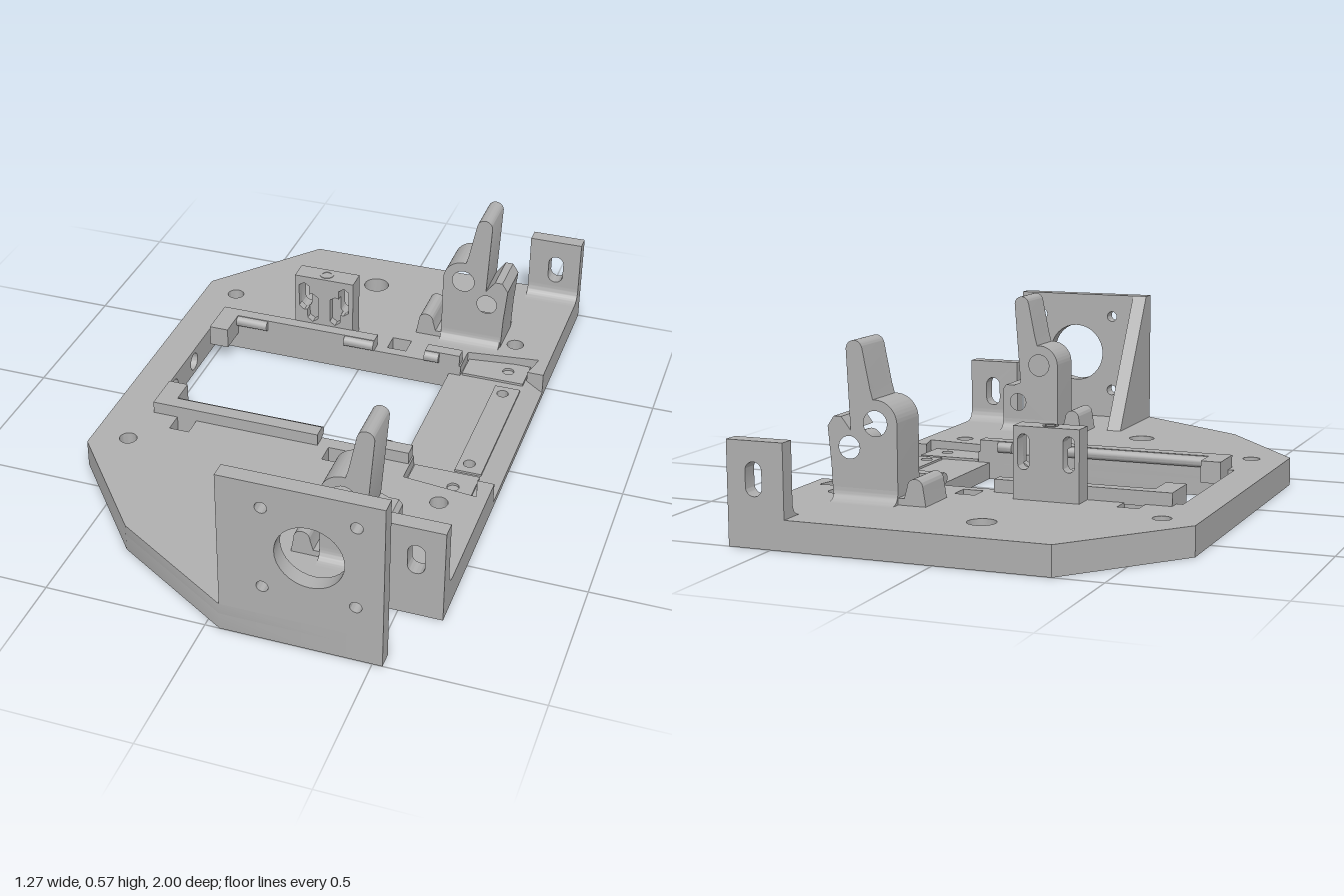
import * as THREE from 'three';
import { toCreasedNormals } from 'three/addons/utils/BufferGeometryUtils.js';

const grey = new THREE.MeshStandardMaterial({ color: 0xb0b0b0 });
grey.name = 'machined grey';

// Shape and hole helpers
const poly = (pts) => new THREE.Shape(pts.map(([x, y]) => new THREE.Vector2(x, y)));
const rect = (x0, x1, y0, y1) => poly([[x0, y0], [x1, y0], [x1, y1], [x0, y1]]);
const circle = (x, y, r) => new THREE.Path().absarc(x, y, r, 0, Math.PI * 2, true);
const slot = (x, y0, y1, r) => new THREE.Path()
  .absarc(x, y1 - r, r, 0, Math.PI, false)
  .absarc(x, y0 + r, r, Math.PI, Math.PI * 2, false)
  .lineTo(x + r, y1 - r);
const cut = (shape, ...holes) => { shape.holes.push(...holes); return shape; };
const extrude = (shape, depth) =>
  new THREE.ExtrudeGeometry(shape, { depth, bevelEnabled: false, curveSegments: 16 });

export function createModel() {
  const model = new THREE.Group();
  model.name = 'mountingPlateAssembly';

  const add = (name, geometry) => {
    const mesh = new THREE.Mesh(toCreasedNormals(geometry, 0.6), grey);
    mesh.name = name;
    model.add(mesh);
  };
  // plan: shape in x,z raised from y0 to y1
  const plan = (name, shape, y0, y1) =>
    add(name, extrude(shape, y1 - y0).rotateX(Math.PI / 2).translate(0, y1, 0));
  // front: shape in x,y running from z0 to z1
  const front = (name, shape, z0, z1) => add(name, extrude(shape, z1 - z0).translate(0, 0, z0));
  // side: shape in z,y running from x0 to x1
  const side = (name, shape, x0, x1) =>
    add(name, extrude(shape, x1 - x0).rotateY(-Math.PI / 2).translate(x1, 0, 0));
  // concave fillet on the plate, starting at z and spreading in direction dir
  const fillet = (name, x0, x1, z, dir, r = 0.045) => {
    const s = new THREE.Shape();
    s.moveTo(z, 0.085).lineTo(z + dir * r, 0.085).lineTo(z + dir * r, 0.09);
    s.quadraticCurveTo(z, 0.09, z, 0.09 + r);
    side(name, s, x0, x1);
  };

  // Holes passing through the whole plate
  const plateHoles = () => {
    const holes = [circle(-0.07, -0.82, 0.043), circle(-0.07, 0.57, 0.043)];
    for (const x of [-0.525, 0.5]) for (const z of [-0.595, 0.345]) holes.push(circle(x, z, 0.028));
    for (const x of [-0.39, 0.125]) for (const z of [-0.467, 0.218])
      holes.push(rect(x - 0.033, x + 0.033, z - 0.033, z + 0.033));
    return holes;
  };
  const outlineStart = [[0.445, 0.76], [0.445, 1], [0.045, 1], [-0.35, 0.76], [-0.64, 0.405],
    [-0.64, -0.65], [-0.35, -1], [0.635, -1]];

  // Lower layer: floor of the cable recess is its top
  const FLOOR = 0.055;
  plan('lowerPlate', cut(
    poly([[0.635, 0.76], ...outlineStart, [0.635, -0.44], [0.58, -0.44], [0.58, 0.2], [0.635, 0.2]]),
    ...plateHoles(), rect(-0.585, 0.32, -0.4, 0.14),
    circle(0.525, -0.33, 0.019), circle(0.525, 0.085, 0.019)), 0, FLOOR);

  // Upper layer: open toward the right edge of the frame, with two wedge pockets
  plan('upperPlate', cut(
    poly([[0.635, 0.76], ...outlineStart, [0.635, -0.44], [0.58, -0.44], [0.6, -0.525], [0.36, -0.495],
      [0.36, -0.4], [-0.585, -0.4], [-0.585, 0.14], [0.36, 0.14], [0.36, 0.255], [0.6, 0.28],
      [0.58, 0.2], [0.635, 0.2]]),
    ...plateHoles()), FLOOR, 0.09);

  // Pocket floors with blind holes
  for (const [z0, z1, zc] of [[-0.515, -0.405, -0.465], [0.145, 0.27, 0.22]])
    plan('pocketFloor', cut(rect(0.365, 0.575, z0, z1), circle(0.51, zc, 0.019)), FLOOR, 0.063);

  // Sloping lip and screw strip at the recess
  front('recessLip', poly([[0.58, 0], [0.635, 0], [0.635, 0.02], [0.58, FLOOR]]), -0.44, 0.2);
  plan('screwStrip', cut(rect(0.49, 0.575, -0.37, 0.13),
    circle(0.525, -0.33, 0.019), circle(0.525, 0.085, 0.019)), FLOOR, 0.062);

  // Inner wall of the opening with two blind bores
  side('openingWall', cut(rect(-0.4, 0.14, 0, 0.09),
    circle(-0.03, 0.045, 0.03), circle(-0.2, 0.045, 0.03)), -0.585, -0.525);

  // Guide rails, corner clips and snap ridges around the opening
  for (const [outer, inner, clipEnd, dir] of [[-0.44, -0.4, -0.3, 1], [0.186, 0.14, 0.055, -1]]) {
    const z0 = Math.min(outer, inner), z1 = Math.max(outer, inner);
    plan('guideRail', rect(-0.505, 0.055, z0, z1), 0.085, 0.13);
    plan('shortRail', rect(0.235, 0.355, z0, z1), 0.085, 0.13);
    plan('cornerClip', rect(-0.505, -0.44, Math.min(outer, clipEnd), Math.max(outer, clipEnd)), 0.06, 0.13);
    for (const [x0, x1] of dir > 0 ? [[-0.44, -0.33], [-0.05, 0.055], [0.235, 0.285]] : [[-0.44, 0.055], [0.235, 0.285]]) {
      add('snapRidge', new THREE.CylinderGeometry(0.018, 0.018, x1 - x0, 16)
        .rotateZ(Math.PI / 2).translate((x0 + x1) / 2, 0.11, inner));
    }
  }

  // Motor mounting plate with bore and four screw holes
  const motor = cut(rect(0.045, 0.53, 0, 0.542), circle(0.315, 0.325, 0.102));
  for (const x of [0.177, 0.45]) for (const y of [0.19, 0.463]) motor.holes.push(circle(x, y, 0.018));
  front('motorPlate', motor, 0.95, 1);
  side('motorGusset', poly([[0.67, 0.085], [0.95, 0.085], [0.95, 0.542]]), 0.045, 0.095);

  // Slotted end tabs
  for (const [z, dir] of [[-1, 1], [0.71, -1]]) {
    front('endTab', cut(rect(0.455, 0.635, 0, 0.31), slot(0.55, 0.15, 0.25, 0.026)), z, z + 0.05);
    fillet('endTabFillet', 0.455, 0.635, dir > 0 ? z + 0.05 : z, dir);
  }

  // Connector stand: slots run through, grooves only reach half depth
  const standBack = cut(rect(-0.243, -0.035, 0.085, 0.31),
    slot(-0.21, 0.18, 0.287, 0.018), slot(-0.068, 0.18, 0.287, 0.018));
  front('connectorStandBack', standBack, -0.508, -0.465);
  const groove = (m) => {
    const pts = [[0.071, 0.2], [0.071, 0.272], [0.082, 0.285], [0.096, 0.272], [0.096, 0.247],
      [0.055, 0.247], [0.055, 0.247], [0.022, 0.235], [0.022, 0.15], [0.04, 0.137], [0.058, 0.15], [0.058, 0.19]];
    const right = [[0.022, 0.15], [0.04, 0.137], [0.058, 0.15], [0.06, 0.182], [0.071, 0.18], [0.089, 0.194],
      [0.089, 0.274], [0.071, 0.287], [0.053, 0.274], [0.053, 0.243], [0.04, 0.247], [0.022, 0.235]];
    return poly((m ? right : pts && right).map(([x, y]) => [-0.139 + (m || 1) * x, y]));
  };
  front('connectorStandFront', cut(rect(-0.243, -0.035, 0.085, 0.31), groove(1), groove(-1)), -0.465, -0.438);

  // Clamps: bored body with a leaning lever and a small stop lug
  const clamps = [
    ['rearClamp', -0.705, -0.56, [[0.395, 0.3], [0.425, 0.34], [0.45, 0.34], [0.47, 0.31], [0.46, 0.2], [0.455, 0.085]]],
    ['frontClamp', 0.572, 0.71, [[0.385, 0.26], [0.41, 0.25], [0.44, 0.25], [0.452, 0.235], [0.452, 0.085]]],
  ];
  for (const [name, z0, z1, lump] of clamps) {
    const body = new THREE.Shape();
    body.moveTo(0.245, 0.085).lineTo(0.245, 0.325);
    body.absarc(0.315, 0.325, 0.07, Math.PI, Math.PI * 0.47, true);
    body.lineTo(0.33, 0.425).lineTo(0.354, 0.545);
    body.absarc(0.38, 0.54, 0.026, Math.PI * 0.95, 0, true);
    for (const [x, y] of lump) body.lineTo(x, y);
    const bores = [circle(0.315, 0.325, 0.038)];
    bores.push(name === 'rearClamp' ? circle(0.4, 0.25, 0.034) : circle(0.395, 0.19, 0.03));
    front(name, cut(body, ...bores), z0, z1);

    const lug = new THREE.Shape();
    lug.moveTo(0.155, 0.085).lineTo(0.165, 0.145);
    lug.absarc(0.19, 0.145, 0.025, Math.PI, 0, true);
    lug.lineTo(0.225, 0.11).lineTo(0.25, 0.11).lineTo(0.25, 0.085);
    front(name + 'Lug', lug, z0, z1);
    fillet(name + 'Fillet', 0.245, 0.452, z0, -1, 0.04);
    fillet(name + 'Fillet', 0.245, 0.452, z1, 1, 0.04);
  }

  // Small screw hole on top of the connector stand, as a thin ring
  plan('standScrewRing', cut(new THREE.Shape().absarc(-0.14, -0.473, 0.024, 0, Math.PI * 2, false),
    circle(-0.14, -0.473, 0.016)), 0.308, 0.312);

  return model;
}
